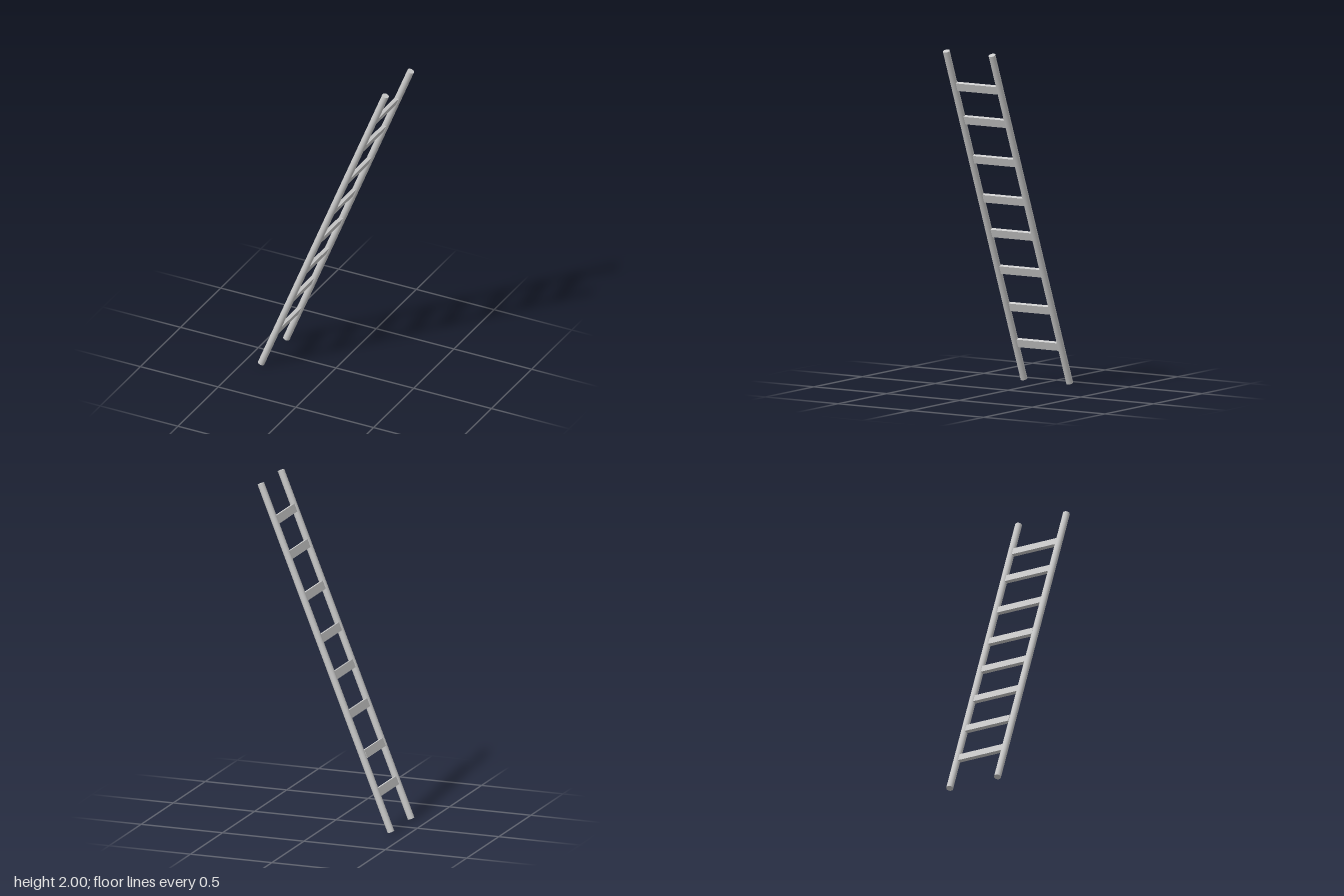
import * as THREE from 'three';

export function createModel() {
  const ladder = new THREE.Group();
  ladder.name = 'ladder';
  const material = new THREE.MeshStandardMaterial({ color: 0xcccccc });

  const lean = -Math.atan2(0.8, 1.985); // whole ladder leans towards +x

  // Two round side rails
  const railGeometry = new THREE.CylinderGeometry(0.02, 0.02, 2.14, 32);
  for (const [name, side] of [['frontRail', 1], ['backRail', -1]]) {
    const rail = new THREE.Mesh(railGeometry, material);
    rail.name = name;
    rail.position.set(0, 1, side * 0.157);
    rail.rotation.z = lean;
    ladder.add(rail);
  }

  // Flat rungs, slightly unevenly spaced: centre [x, y]
  const rungGeometry = new THREE.BoxGeometry(0.021, 0.049, 0.285);
  const rungs = [
    [-0.313, 0.228], [-0.231, 0.446], [-0.135, 0.672], [-0.046, 0.894],
    [0.038, 1.104], [0.137, 1.341], [0.231, 1.578], [0.312, 1.78],
  ];
  rungs.forEach(([x, y], i) => {
    const rung = new THREE.Mesh(rungGeometry, material);
    rung.name = `rung${i + 1}`;
    rung.position.set(x, y, 0);
    rung.rotation.z = lean;
    ladder.add(rung);
  });

  return ladder;
}
